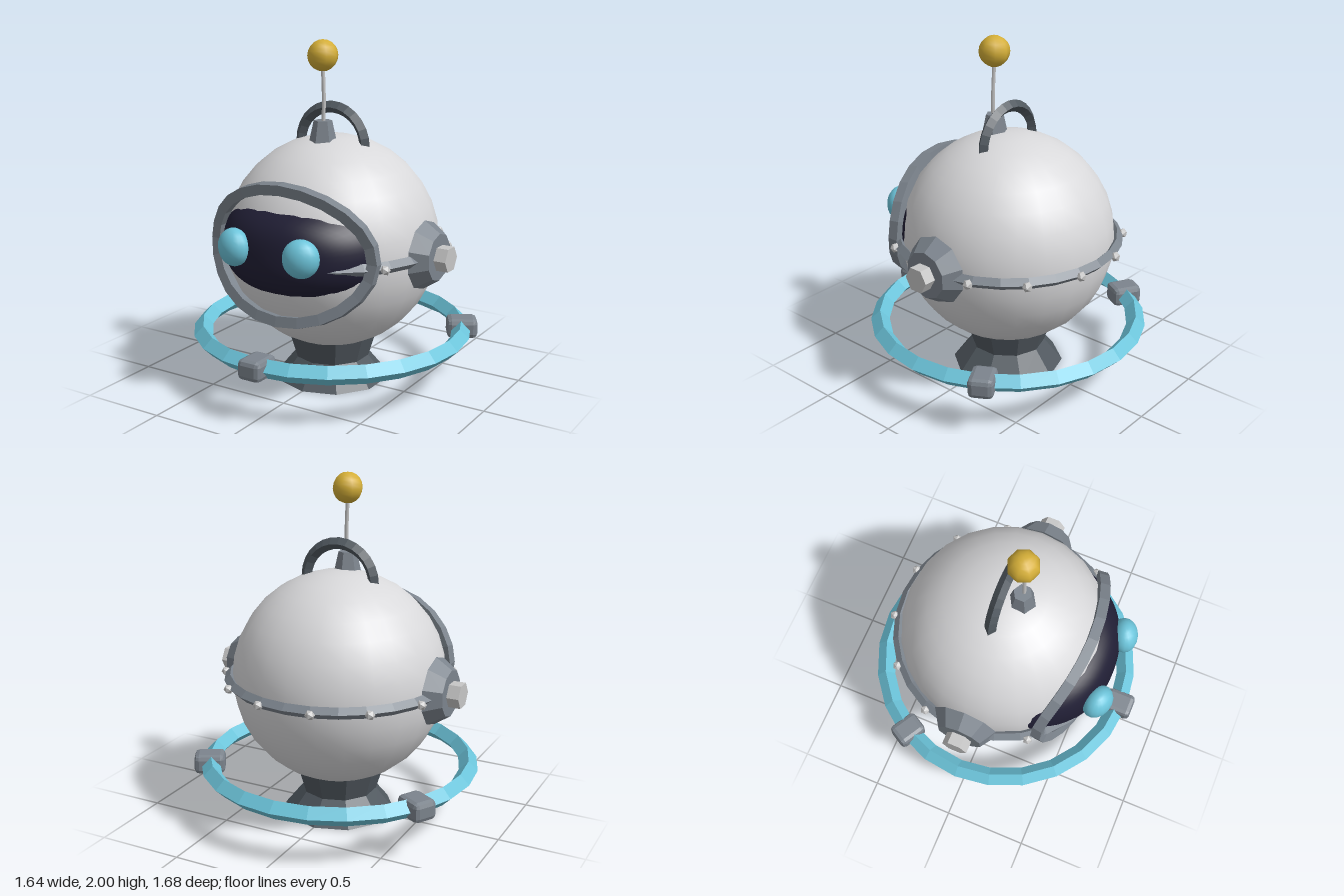
import * as THREE from 'three';
import { RoundedBoxGeometry } from 'three/addons/geometries/RoundedBoxGeometry.js';

const CY = 0.838, CZ = -0.02, R = 0.62; // centre and radius of the round body

const mat = (name, color) => {
  const m = new THREE.MeshStandardMaterial({ color });
  m.name = name;
  return m;
};

// Give every face its own normal
function facet(geo) {
  const g = geo.index ? geo.toNonIndexed() : geo;
  g.computeVertexNormals();
  return g;
}

// Point over (x, y) on the front of a sphere of radius r round the body centre
const onBody = (x, y, r) =>
  new THREE.Vector3(x, y, CZ + Math.sqrt(r * r - x * x - (y - CY) ** 2));

function indexed(points, index) {
  const g = new THREE.BufferGeometry().setFromPoints(points);
  g.setIndex(index);
  g.computeVertexNormals();
  return g;
}

// Diamond section swept round an oval that lies on the body
function frameGeometry() {
  const n = 24, path = [], points = [], index = [];
  for (let i = 0; i < n; i++) {
    const a = (i / n) * Math.PI * 2;
    path.push(onBody(0.512 * Math.cos(a), 0.87 + 0.368 * Math.sin(a), 0.655));
  }
  const centre = new THREE.Vector3(0, CY, CZ);
  for (let i = 0; i < n; i++) {
    const tangent = path[(i + 1) % n].clone().sub(path[(i + n - 1) % n]).normalize();
    const out = path[i].clone().sub(centre).normalize();
    const side = tangent.clone().cross(out).normalize();
    for (let j = 0; j < 4; j++) {
      const a = (j * Math.PI) / 2;
      points.push(path[i].clone()
        .addScaledVector(out, 0.042 * Math.cos(a))
        .addScaledVector(side, 0.042 * Math.sin(a)));
      const p = i * 4 + j, q = i * 4 + ((j + 1) % 4);
      const s = ((i + 1) % n) * 4 + j, r = ((i + 1) % n) * 4 + ((j + 1) % 4);
      index.push(p, q, r, p, r, s);
    }
  }
  return facet(indexed(points, index));
}

// Bulging rounded-oval patch that sinks into the body at its rim
function visorGeometry() {
  const rings = 16, n = 48, points = [], index = [];
  const pow = v => Math.sign(v) * Math.abs(v) ** 0.8;
  for (let i = 0; i <= rings; i++) {
    const t = i / rings;
    for (let j = 0; j < n; j++) {
      const a = (j / n) * Math.PI * 2;
      points.push(onBody(0.51 * t * pow(Math.cos(a)), 0.89 + 0.225 * t * pow(Math.sin(a)),
        0.61 + 0.068 * (1 - t ** 4)));
      if (i === rings) continue;
      const p = i * n + j, q = i * n + ((j + 1) % n);
      index.push(p, p + n, q + n);
      if (i > 0) index.push(p, q + n, q);
    }
  }
  return indexed(points, index);
}

export function createModel() {
  const model = new THREE.Group();
  model.name = 'robot';
  const white = mat('shell white', 0xd8d8da);
  const grey = mat('trim grey', 0x7c848d);
  const dark = mat('dark grey', 0x50585f);
  const light = mat('bolt silver', 0xc6c6c6);
  const cyan = mat('cyan', 0x6cc4da);
  const navy = mat('visor navy', 0x201e34);
  const gold = mat('gold', 0xd4ae37);

  const add = (name, geo, material, x = 0, y = 0, z = 0) => {
    const m = new THREE.Mesh(geo, material);
    m.name = name;
    m.position.set(x, y, z);
    model.add(m);
    return m;
  };

  // Body, visor and visor frame
  add('body', new THREE.SphereGeometry(R, 24, 16), white, 0, CY, CZ);
  add('visor', visorGeometry(), navy);
  add('visorFrame', frameGeometry(), grey);

  // Waist band, with its open ends under the visor
  const gap = Math.PI / 9;
  const band = new THREE.TorusGeometry(0.634, 0.034, 4, 24, Math.PI * 2 - 2 * gap);
  band.rotateZ(Math.PI / 2 + gap).rotateX(Math.PI / 2);
  add('waistBand', facet(band), grey, 0, CY, CZ);

  // Pedestal
  add('pedestalFoot', facet(new THREE.CylinderGeometry(0.22, 0.33, 0.136, 10)), dark, 0, 0.068, CZ);
  add('pedestalNeck', facet(new THREE.CylinderGeometry(0.272, 0.22, 0.17, 10)), dark, 0, 0.221, CZ);

  // Floating ring with three clamps
  const ring = new THREE.TorusGeometry(0.766, 0.055, 4, 24).rotateX(Math.PI / 2);
  add('ring', facet(ring), cyan, 0, 0.305, CZ);
  for (let i = 0; i < 3; i++) {
    const a = (i * Math.PI * 2) / 3;
    const clamp = add('ringClamp', facet(new RoundedBoxGeometry(0.145, 0.116, 0.18, 1, 0.028)),
      grey, 0.768 * Math.sin(a), 0.307, CZ + 0.768 * Math.cos(a));
    clamp.rotation.y = a;
  }

  // Carrying handle
  add('handle', facet(new THREE.TorusGeometry(0.212, 0.034, 4, 14, Math.PI)), dark, 0, 1.402, CZ);

  // Antenna
  add('antennaBase', facet(new THREE.CylinderGeometry(0.052, 0.078, 0.12, 6)), grey, 0, 1.49, 0.08);
  const rod = new THREE.CatmullRomCurve3([
    new THREE.Vector3(0.006, 1.53, 0.086),
    new THREE.Vector3(0.009, 1.66, 0.084),
    new THREE.Vector3(0, 1.86, 0.08),
  ]);
  add('antennaRod', new THREE.TubeGeometry(rod, 6, 0.011, 6), light);
  add('antennaBall', new THREE.SphereGeometry(0.088, 8, 10), gold, 0, 1.912, 0.08);

  for (const s of [1, -1]) {
    // Eyes
    const eye = add('eye', new THREE.SphereGeometry(0.1, 16, 12), cyan, s * 0.217, 0.918, 0.64);
    eye.scale.set(1.02, 1.06, 0.8);
    eye.rotation.y = s * 0.34;

    // Ear cups with hex bolts
    const cup = add('earCup', facet(new THREE.CylinderGeometry(0.135, 0.198, 0.095, 10)
      .rotateY(Math.PI / 2)), grey, s * 0.647, CY - 0.003, CZ);
    const bolt = add('earBolt', facet(new THREE.CylinderGeometry(0.075, 0.075, 0.12, 6)),
      light, s * 0.705, CY - 0.005, CZ);
    cup.rotation.z = bolt.rotation.z = -s * Math.PI / 2;

    // Rivets along the band, counted from the back
    for (const k of [0, 1, 2, 4]) {
      const a = THREE.MathUtils.degToRad(13.7 + 27.4 * k);
      add('rivet', facet(new THREE.IcosahedronGeometry(0.029, 0)), light,
        s * 0.668 * Math.sin(a), CY - 0.003, CZ - 0.668 * Math.cos(a));
    }
  }
  return model;
}
